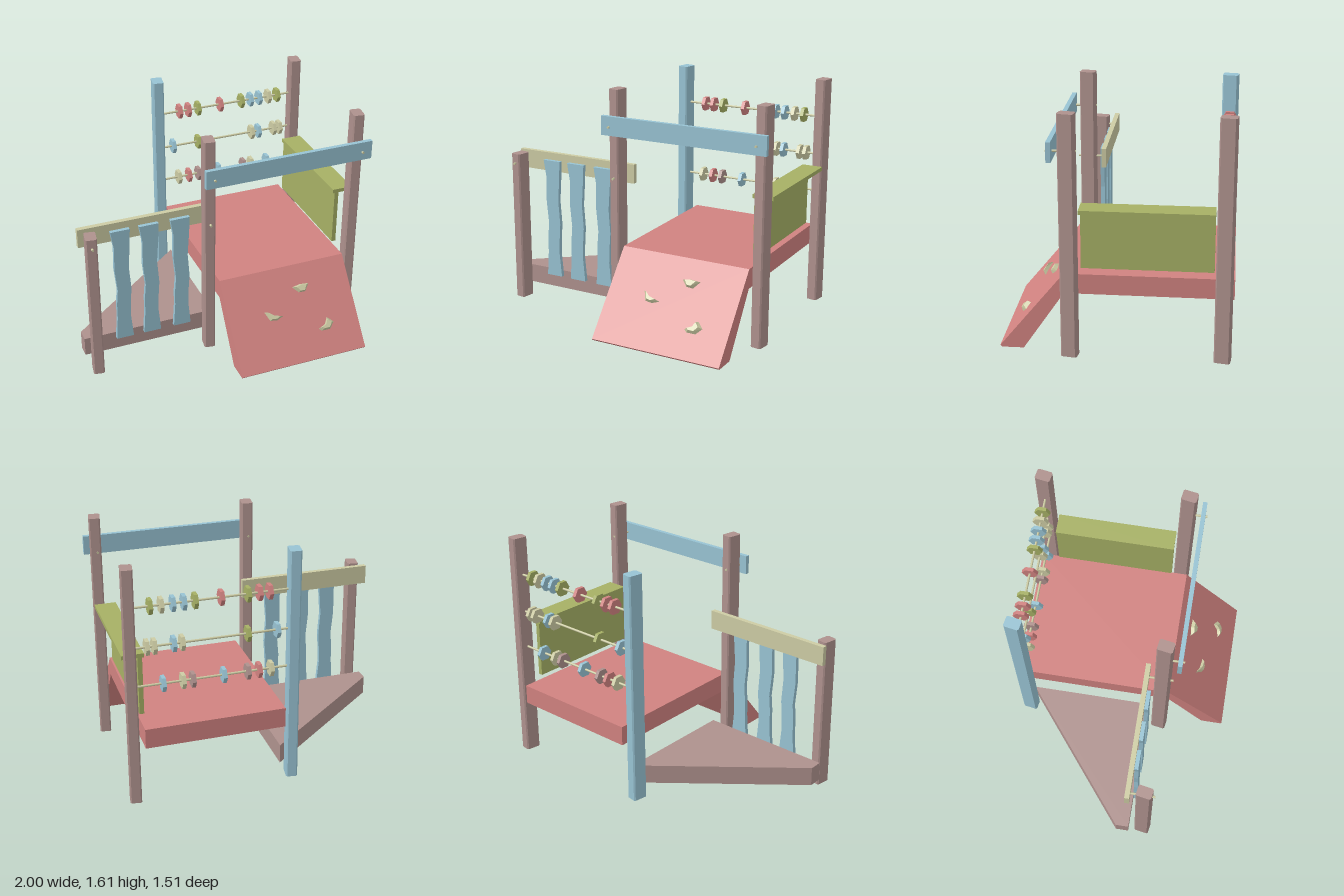
import * as THREE from 'three';

const paint = (name, color) => {
  const m = new THREE.MeshStandardMaterial({ color });
  m.name = name;
  return m;
};

export function createModel() {
  const pink = paint('pink', 0xd08280);
  const blue = paint('pale blue', 0x98c3d3);
  const brown = paint('dusty brown', 0xae918d);
  const green = paint('leaf green', 0xa6b065);
  const tan = paint('tan', 0xcdcca4);

  const model = new THREE.Group();
  model.name = 'playStructure';

  const add = (name, geometry, material, parent = model) => {
    const mesh = new THREE.Mesh(geometry, material);
    mesh.name = name;
    parent.add(mesh);
    return mesh;
  };
  // Box given by its limits on each axis
  const box = (name, material, x0, x1, y0, y1, z0, z1) => {
    const g = new THREE.BoxGeometry(x1 - x0, y1 - y0, z1 - z0);
    g.translate((x0 + x1) / 2, (y0 + y1) / 2, (z0 + z1) / 2);
    return add(name, g, material);
  };
  const prism = (points, depth, options = {}) => new THREE.ExtrudeGeometry(
    new THREE.Shape(points.map(([x, y]) => new THREE.Vector2(x, y))),
    { depth, bevelEnabled: false, ...options });

  // Posts: upright beams with chamfered edges, turned slightly
  const w = 0.038, d = 0.052, c = 0.009;
  const section = [
    [-w + c, -d], [w - c, -d], [w, -d + c], [w, d - c],
    [w - c, d], [-w + c, d], [-w, d - c], [-w, -d + c],
  ];
  const frontZ = 0.286, backZ = -0.69;
  for (const [name, x, z, h, material] of [
    ['railPost', -0.94, frontZ, 1.07, brown],
    ['frontRightPost', -0.13, frontZ, 1.61, brown],
    ['frontLeftPost', 0.935, frontZ, 1.61, brown],
    ['backRightPost', -0.13, backZ, 1.61, blue],
    ['backLeftPost', 0.935, backZ, 1.61, brown],
  ]) {
    const post = add(name, prism(section, h).rotateX(-Math.PI / 2), material);
    post.position.set(x, 0, z);
    post.rotation.y = -0.16;
  }

  // Raised platform with the climbing ramp, one side profile (z, y)
  const deck = prism([
    [-0.755, 0.4], [0.33, 0.4], [0.6, 0], [0.745, 0],
    [0.755, 0.012], [0.33, 0.535], [-0.755, 0.535],
  ], 0.935).rotateY(-Math.PI / 2);
  add('platformAndRamp', deck, pink).position.x = 0.87;

  // Low triangular floor (x, -z)
  const floor = prism([[-1, -0.19], [-0.065, -0.19], [-0.065, 0.66], [-1, -0.1]], 0.133);
  add('triangularFloor', floor.rotateX(-Math.PI / 2), brown).position.y = 0.07;

  // Rails and side counter
  box('frontCrossbar', blue, -0.19, 1, 1.312, 1.442, 0.375, 0.405);
  box('fenceRail', tan, -1, -0.065, 0.94, 1.073, 0.16, 0.193);
  box('sidePanel', green, 0.843, 0.873, 0.58, 0.976, -0.625, 0.218);
  box('counterTop', green, 0.83, 0.975, 0.976, 1.003, -0.625, 0.218);

  // Wavy fence planks: offsets of each edge from bottom to top
  const heights = [0.165, 0.34, 0.45, 0.56, 0.73, 0.9, 1.022];
  const leftWave = [0, 0.012, 0.012, 0.022, 0.006, 0.01, -0.01];
  const rightWave = [0, -0.016, -0.012, -0.004, -0.016, -0.004, 0.002];
  for (const [x0, x1] of [[-0.778, -0.656], [-0.58, -0.457], [-0.362, -0.238]]) {
    const right = heights.map((y, i) => [x1 + rightWave[i], y]);
    const left = heights.map((y, i) => [x0 + leftWave[i], y]).reverse();
    add('fencePlank', prism([...right, ...left], 0.028), blue).position.z = 0.192;
  }

  // Bolts through posts and rails
  for (const [x, y, z0, z1] of [
    [-0.13, 1.37, 0.23, 0.418], [0.93, 1.37, 0.23, 0.418],
    [-0.945, 1.003, 0.185, 0.358], [-0.135, 1.003, 0.185, 0.358],
  ]) {
    const bolt = new THREE.CylinderGeometry(0.008, 0.008, z1 - z0, 8).rotateX(Math.PI / 2);
    add('bolt', bolt, tan).position.set(x, y, (z0 + z1) / 2);
  }

  // Counting frame: three rods with hexagonal beads
  const beadGeometry = new THREE.CylinderGeometry(0.054, 0.054, 0.025, 6).toNonIndexed();
  beadGeometry.computeVertexNormals();
  beadGeometry.rotateZ(Math.PI / 2);
  const rodGeometry = new THREE.CylinderGeometry(0.008, 0.008, 1.02, 8).rotateZ(Math.PI / 2);
  const rows = [
    [0.81, [[0.02, tan], [0.1, pink], [0.175, brown], [0.335, blue],
      [0.538, brown], [0.602, tan], [0.73, blue]]],
    [1.075, [[-0.02, blue], [0.175, green], [0.602, tan], [0.656, blue],
      [0.78, tan], [0.827, tan]]],
    [1.345, [[0.033, pink], [0.1, pink], [0.175, green], [0.348, pink], [0.515, green],
      [0.587, blue], [0.656, blue], [0.73, tan], [0.8, green]]],
  ];
  for (const [y, beads] of rows) {
    const row = new THREE.Group();
    row.name = 'beadRow';
    row.position.set(0, y, backZ);
    model.add(row);
    add('beadRod', rodGeometry, tan, row).position.x = 0.4;
    for (const [x, material] of beads) add('bead', beadGeometry, material, row).position.x = x;
  }

  // Climbing holds lying on the ramp slope (x, height above ground)
  const holds = new THREE.Group();
  holds.name = 'climbingHolds';
  holds.position.set(0, 0.012, 0.755);
  holds.rotation.x = -Math.atan2(0.425, 0.523);
  model.add(holds);
  const stretch = Math.hypot(0.425, 0.523) / 0.523;
  for (const outline of [
    [[0.44, 0.416], [0.48, 0.382], [0.53, 0.38], [0.568, 0.42], [0.5, 0.424]],
    [[0.195, 0.32], [0.225, 0.268], [0.275, 0.262], [0.325, 0.277], [0.25, 0.29]],
    [[0.56, 0.165], [0.58, 0.152], [0.645, 0.152], [0.682, 0.186], [0.64, 0.218], [0.612, 0.182]],
  ]) {
    const g = prism(outline.map(([x, y]) => [x, (y - 0.012) * stretch]), 0.025);
    // Taper the outer face
    g.computeBoundingBox();
    const mid = g.boundingBox.getCenter(new THREE.Vector3());
    const p = g.attributes.position;
    for (let i = 0; i < p.count; i++) {
      if (p.getZ(i) < 0.01) continue;
      p.setX(i, mid.x + (p.getX(i) - mid.x) * 0.6);
      p.setY(i, mid.y + (p.getY(i) - mid.y) * 0.7);
    }
    g.computeVertexNormals();
    add('climbingHold', g, tan, holds);
  }

  return model;
}
